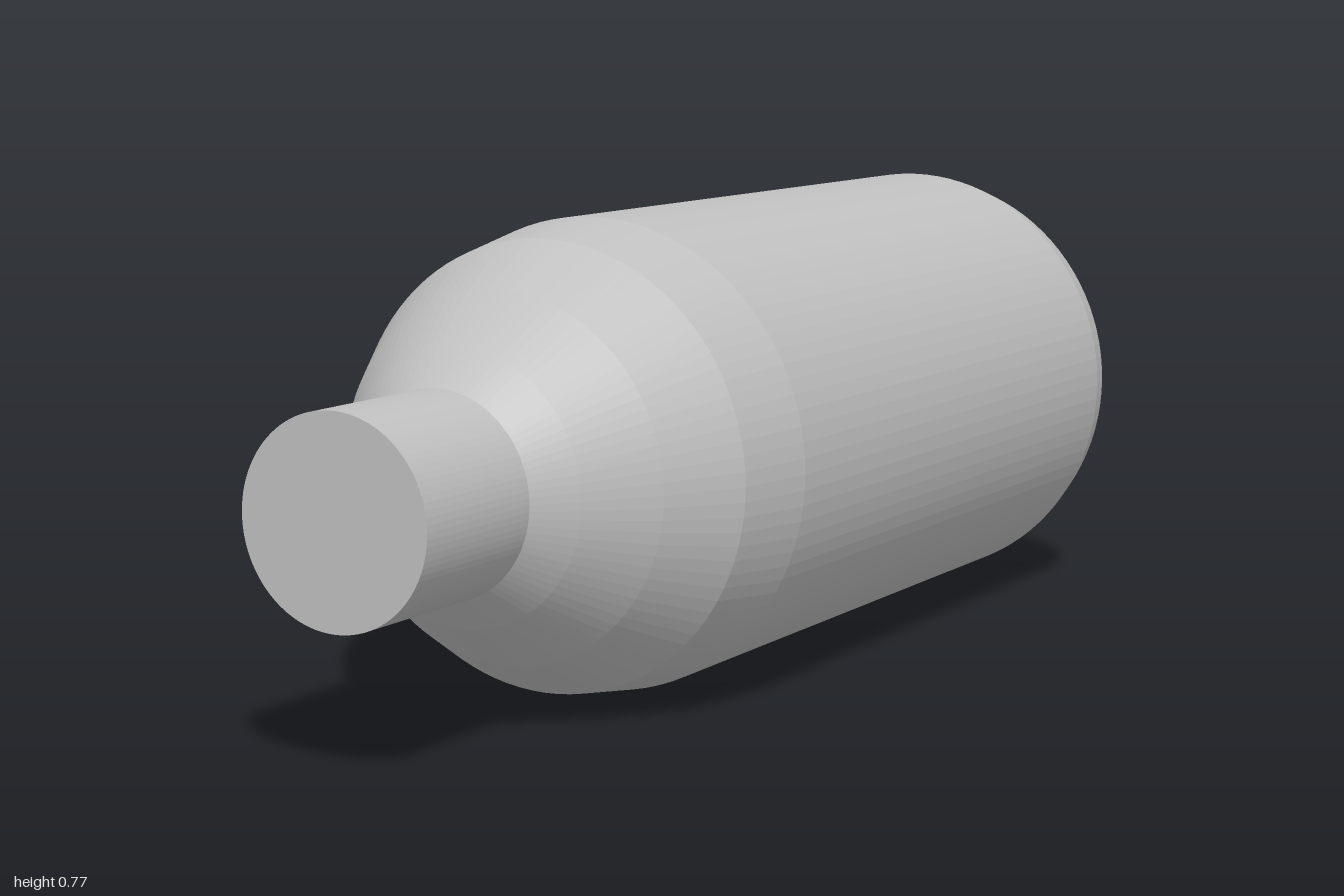
import * as THREE from 'three';

const SEGMENTS = 96;
const RADIUS = 0.387;

// Turned part lying along z, from [radius, z] pairs listed back to front
function turned(name, profile, material) {
  const points = profile.map(([r, z]) => new THREE.Vector2(r, z));
  const geometry = new THREE.LatheGeometry(points, SEGMENTS).rotateX(Math.PI / 2);
  const mesh = new THREE.Mesh(geometry, material);
  mesh.name = name;
  mesh.position.y = RADIUS;
  return mesh;
}

export function createModel() {
  const grey = new THREE.MeshStandardMaterial({ color: 0xc0c0c0, flatShading: true });
  grey.name = 'plain grey';
  const model = new THREE.Group();
  model.name = 'bottle';

  // Closed base with a two-step bevel
  model.add(turned('base', [[0, -1], [0.325, -1], [0.372, -0.966], [RADIUS, -0.905]], grey));

  // Straight barrel
  model.add(turned('barrel', [[RADIUS, -0.905], [RADIUS, 0.29]], grey));

  // Shoulder narrowing in four bands
  model.add(turned('shoulder', [
    [RADIUS, 0.29], [0.363, 0.44], [0.293, 0.567], [0.215, 0.675], [0.162, 0.735],
  ], grey));

  // Neck with a flat closed end
  model.add(turned('neck', [[0.162, 0.735], [0.162, 1], [0, 1]], grey));

  return model;
}
